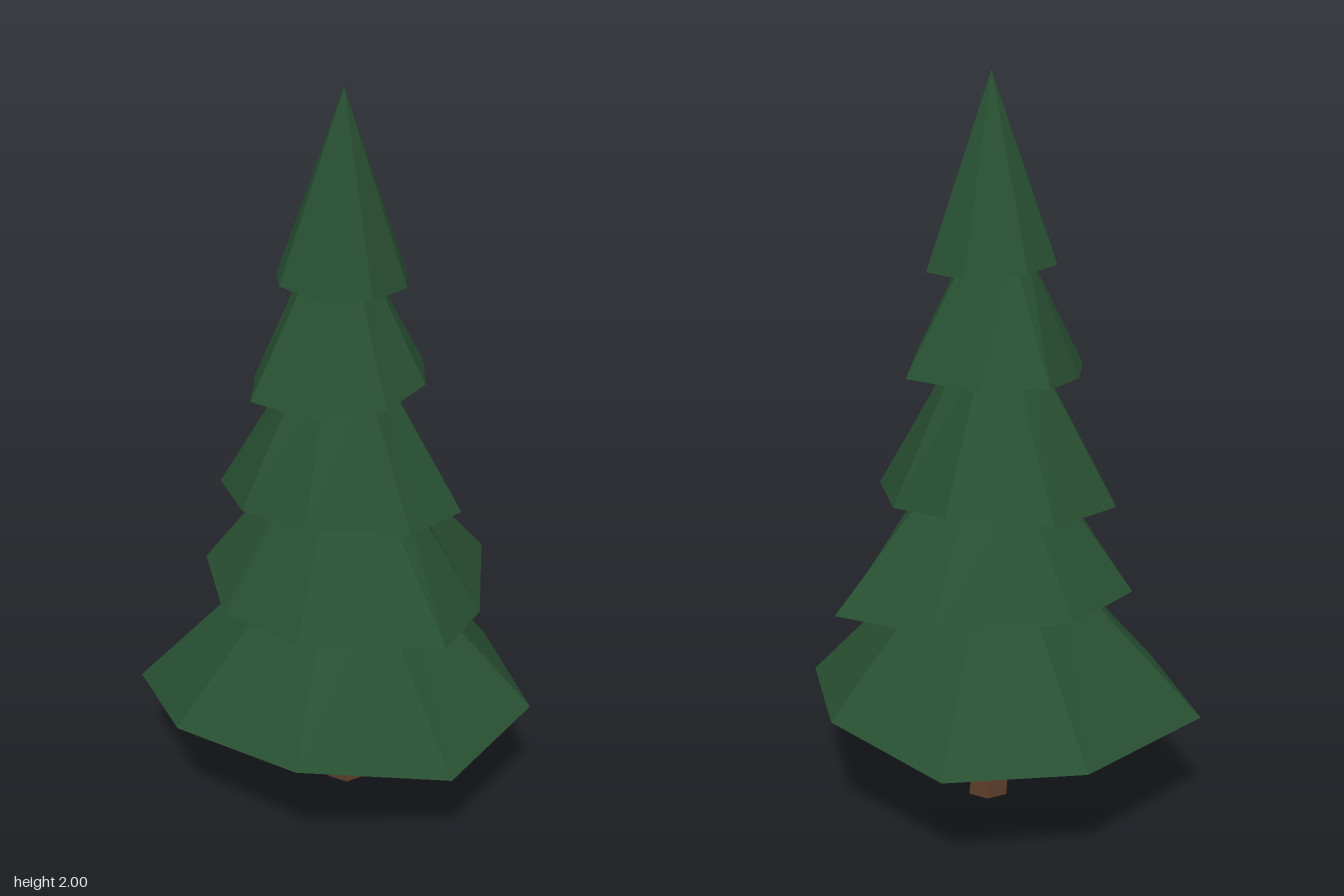
import * as THREE from 'three';

// Each tier: uneven eight-sided rim [x, y, z] starting at the back and passing the left side (+x),
// closing to a narrower regular ring of radius topR at height topY, centred on (cx, cz).
const TIERS = [
  { name: 'lowestBranches', topY: 0.68, topR: 0.18, cx: 0.01, cz: 0, rim: [
    [-0.02, 0.28, -0.557], [0.36, 0.31, -0.35], [0.555, 0.3, 0.015], [0.405, 0.27, 0.375],
    [0.03, 0.35, 0.55], [-0.35, 0.31, 0.365], [-0.557, 0.27, 0.06], [-0.36, 0.28, -0.4]] },
  { name: 'lowerBranches', topY: 0.96, topR: 0.15, cx: 0.02, cz: 0, rim: [
    [0.04, 0.635, -0.457], [0.35, 0.605, -0.33], [0.406, 0.58, 0.015], [0.36, 0.6, 0.263],
    [0, 0.645, 0.418], [-0.25, 0.61, 0.24], [-0.375, 0.64, -0.01], [-0.283, 0.635, -0.277]] },
  { name: 'middleBranches', topY: 1.26, topR: 0.115, cx: 0.01, cz: 0.01, rim: [
    [0.035, 0.91, -0.35], [0.23, 0.875, -0.2], [0.347, 0.875, 0.015], [0.25, 0.885, 0.2],
    [0, 0.93, 0.33], [-0.2, 0.91, 0.215], [-0.33, 0.875, -0.02], [-0.225, 0.88, -0.25]] },
  { name: 'upperBranches', topY: 1.54, topR: 0.085, cx: 0.01, cz: 0.01, rim: [
    [-0.02, 1.215, -0.23], [0.2, 1.22, -0.175], [0.245, 1.235, 0.025], [0.175, 1.215, 0.17],
    [0, 1.205, 0.255], [-0.18, 1.21, 0.185], [-0.218, 1.21, 0.01], [-0.19, 1.22, -0.175]] },
  { name: 'treeTop', topY: 2, topR: 0, cx: 0.025, cz: 0.015, rim: [
    [0.04, 1.49, -0.173], [0.165, 1.49, -0.105], [0.19, 1.49, 0.01], [0.13, 1.495, 0.14],
    [0.01, 1.5, 0.195], [-0.115, 1.51, 0.13], [-0.152, 1.505, 0.02], [-0.11, 1.5, -0.105]] },
];

function tierGeometry({ rim, topY, topR, cx, cz }) {
  const top = rim.map(([x, , z]) => {
    const a = Math.atan2(z - cz, x - cx);
    return [cx + topR * Math.cos(a), topY, cz + topR * Math.sin(a)];
  });
  const baseY = rim.reduce((sum, p) => sum + p[1], 0) / rim.length;
  const centre = [cx, baseY, cz];
  const pos = [];
  rim.forEach((a, i) => {
    const j = (i + 1) % rim.length;
    const b = rim[j];
    pos.push(...b, ...a, ...top[i]);                        // sloping side
    if (topR > 0) pos.push(...b, ...top[i], ...top[j]);
    pos.push(...centre, ...a, ...b);                        // underside
  });
  const g = new THREE.BufferGeometry();
  g.setAttribute('position', new THREE.Float32BufferAttribute(pos, 3));
  g.computeVertexNormals();
  return g;
}

export function createModel() {
  const green = new THREE.MeshStandardMaterial({ color: 0x285032, flatShading: true });
  green.name = 'pine green';
  const brown = new THREE.MeshStandardMaterial({ color: 0x5c3d2a, flatShading: true });
  brown.name = 'bark brown';

  const group = new THREE.Group();
  group.name = 'pineTree';

  // Slightly leaning six-sided trunk
  const trunkGeo = new THREE.CylinderGeometry(0.05, 0.06, 0.45, 6);
  trunkGeo.rotateY(Math.PI / 12);
  trunkGeo.translate(0, 0.225, 0);
  const p = trunkGeo.attributes.position;
  for (let i = 0; i < p.count; i++) {
    const t = p.getY(i) / 0.45;
    p.setX(i, p.getX(i) + 0.032 - 0.024 * t);
    p.setZ(i, p.getZ(i) + 0.002 + 0.02 * t);
  }
  trunkGeo.computeVertexNormals();
  const trunk = new THREE.Mesh(trunkGeo, brown);
  trunk.name = 'trunk';
  group.add(trunk);

  // Stacked branch tiers
  for (const tier of TIERS) {
    const mesh = new THREE.Mesh(tierGeometry(tier), green);
    mesh.name = tier.name;
    group.add(mesh);
  }
  return group;
}
